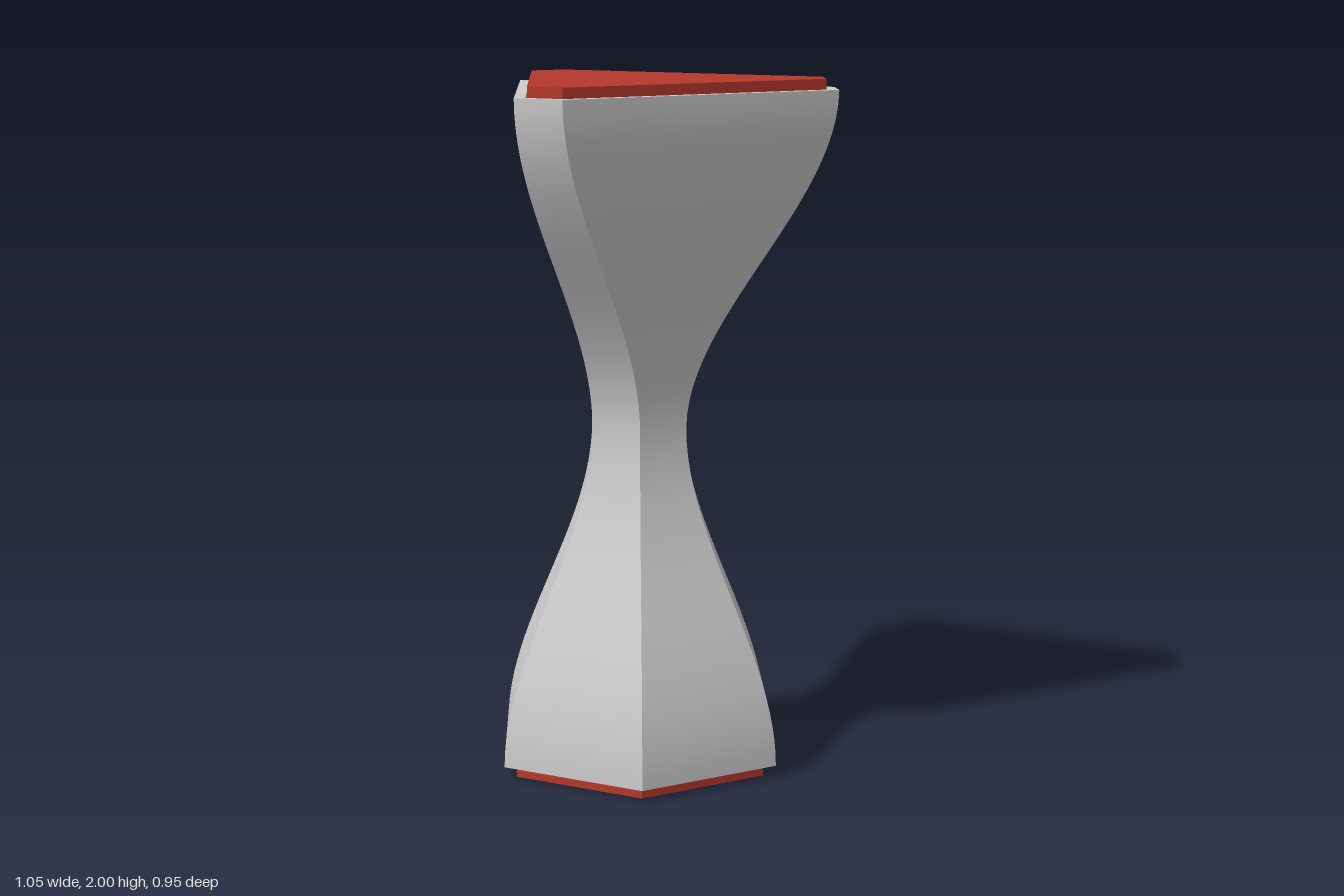
import * as THREE from 'three';

const CENTRE_Z = 0.083;
const SIN60 = Math.sqrt(3) / 2;

// Six-sided ring: faces alternate between distances a (front) and b (back) from the axis
function ring([a, b, y]) {
  return [0, 1, 2, 3, 4, 5].map((k) => {
    const angle = (k * Math.PI) / 3;
    const d = k % 2 ? b : a;
    const next = k % 2 ? a : b;
    const slide = (next - d / 2) / SIN60;
    return [
      d * Math.sin(angle) + slide * Math.cos(angle),
      y,
      CENTRE_Z + d * Math.cos(angle) - slide * Math.sin(angle),
    ];
  });
}

// Each run of rings is smooth along its length; corners and joins between runs stay sharp
function loft(name, runs, color) {
  const positions = [];
  const indices = [];
  for (const run of runs) {
    const rings = run.map(ring);
    for (let k = 0; k < 6; k++) {
      const start = positions.length / 3;
      rings.forEach((r) => positions.push(...r[(k + 5) % 6], ...r[k]));
      for (let i = 0; i < rings.length - 1; i++) {
        const p = start + i * 2;
        indices.push(p, p + 1, p + 3, p, p + 3, p + 2);
      }
    }
  }
  const geometry = new THREE.BufferGeometry();
  geometry.setAttribute('position', new THREE.Float32BufferAttribute(positions, 3));
  geometry.setIndex(indices);
  geometry.computeVertexNormals();
  const mesh = new THREE.Mesh(geometry, new THREE.MeshStandardMaterial({ color }));
  mesh.name = name;
  return mesh;
}

// Split a hard-edged profile into separate two-ring runs
const hardRuns = (profile) => profile.slice(1).map((p, i) => [profile[i], p]);

const inset = ([a, b], amount, y) => [a - amount, b - amount, y];

export function createModel() {
  const model = new THREE.Group();
  model.name = 'hourglassPillar';

  const bottom = [0.392, 0.392, 0.035];
  const waist = [0.135, 0.135, 1.0];
  const top = [0.347, 0.563, 1.97];

  // Body sides: regular hexagon at the foot, narrow waist, blunted triangle at the top
  const side = [];
  const steps = 24;
  for (const [from, to] of [[bottom, waist], [waist, top]]) {
    for (let i = side.length ? 1 : 0; i <= steps; i++) {
      const t = i / steps;
      const s = THREE.MathUtils.smoothstep(t, 0, 1);
      side.push([
        THREE.MathUtils.lerp(from[0], to[0], s),
        THREE.MathUtils.lerp(from[1], to[1], s),
        THREE.MathUtils.lerp(from[2], to[2], t),
      ]);
    }
  }

  // Rims with shallow recesses that hold the pads
  const lowerRim = hardRuns([[0, 0, 0.065], inset(bottom, 0.03, 0.065), inset(bottom, 0.03, 0.035), bottom]);
  const upperRim = hardRuns([top, inset(top, 0.03, 1.97), inset(top, 0.03, 1.94), [0, 0, 1.94]]);
  model.add(loft('body', [...lowerRim, side, ...upperRim], 0xcccccc));

  // Red end pads
  const pad = (name, end, y0, y1) =>
    loft(name, hardRuns([[0, 0, y0], inset(end, 0.035, y0), inset(end, 0.035, y1), [0, 0, y1]]), 0xb5382c);
  model.add(pad('bottomPad', bottom, 0, 0.064));
  model.add(pad('topPad', top, 1.941, 2));

  return model;
}
